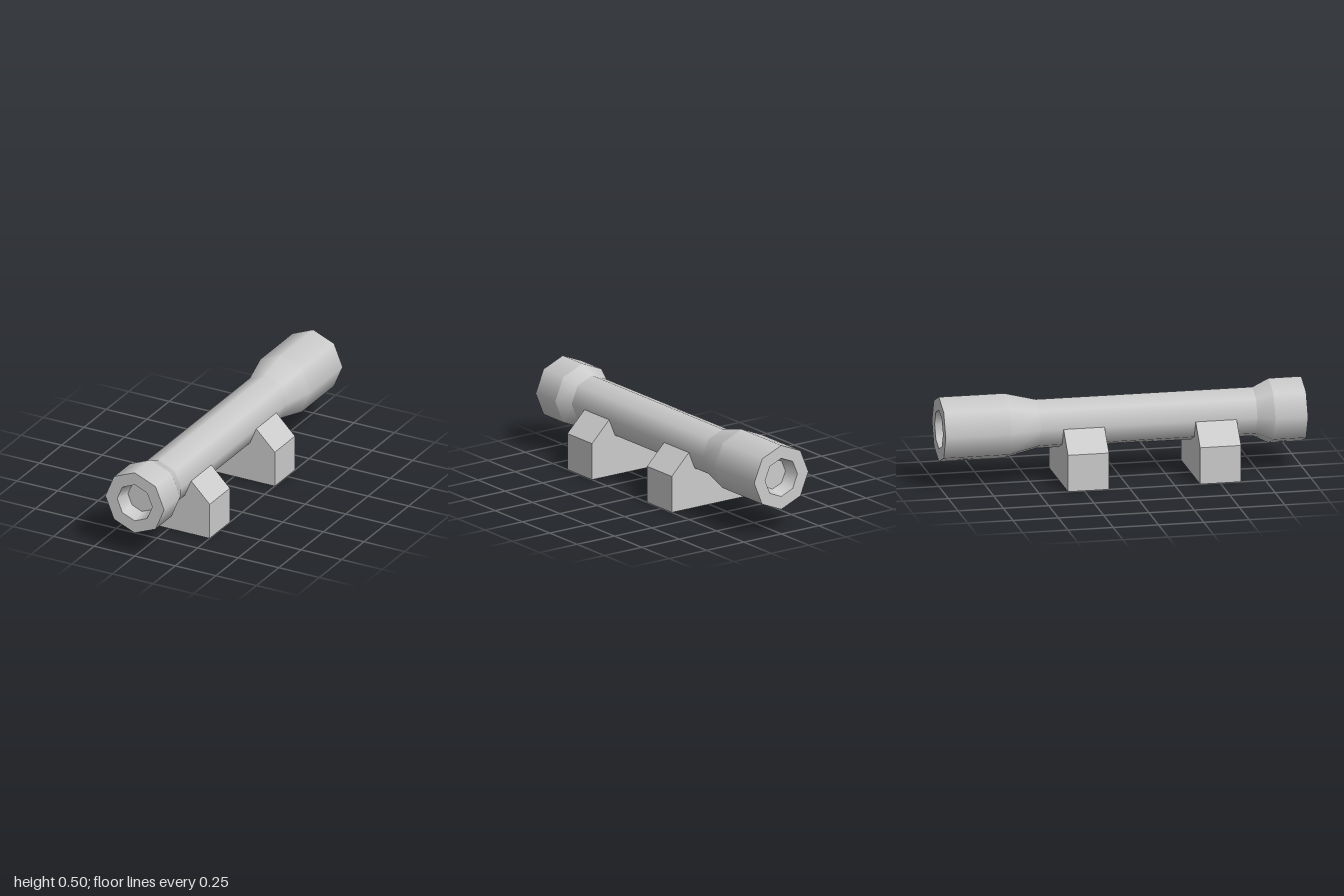
import * as THREE from 'three';
import { mergeGeometries } from 'three/addons/utils/BufferGeometryUtils.js';

const AXIS_Y = 0.32;
const material = new THREE.MeshStandardMaterial({ color: 0xcccccc });

// Eight-sided lathe along z: smooth around, sharp between profile sections
function turned(name, profile) {
  const bands = [];
  for (let i = 0; i < profile.length - 1; i++) {
    const pair = [profile[i], profile[i + 1]].map(([r, z]) => new THREE.Vector2(r, z));
    bands.push(new THREE.LatheGeometry(pair, 8));
  }
  const geometry = mergeGeometries(bands);
  geometry.rotateX(Math.PI / 2);
  geometry.translate(0, AXIS_Y, 0);
  const mesh = new THREE.Mesh(geometry, material);
  mesh.name = name;
  return mesh;
}

// Block with sloped shoulders that cradles the tube
function mount(name, zCentre) {
  const depth = 0.226;
  const shape = new THREE.Shape([
    [-0.25, 0], [0.25, 0], [0.25, 0.204], [0.134, 0.32], [-0.134, 0.32], [-0.25, 0.204],
  ].map(([x, y]) => new THREE.Vector2(x, y)));
  const geometry = new THREE.ExtrudeGeometry(shape, { depth, bevelEnabled: false });
  geometry.translate(0, 0, zCentre - depth / 2);
  const mesh = new THREE.Mesh(geometry, material);
  mesh.name = name;
  return mesh;
}

export function createModel() {
  const model = new THREE.Group();
  model.name = 'sightingScope';

  // Rear bell with recessed lens
  model.add(turned('rearBell', [
    [0, -0.92], [0.086, -0.92], [0.108, -1], [0.181, -1], [0.181, -0.64], [0.137, -0.465],
  ]));
  // Straight main tube
  model.add(turned('mainTube', [[0.137, -0.465], [0.137, 0.73]]));
  // Front bell with recessed lens
  model.add(turned('frontBell', [
    [0.137, 0.73], [0.181, 0.82], [0.181, 1], [0.108, 1], [0.086, 0.92], [0, 0.92],
  ]));

  // Mounting blocks
  model.add(mount('frontMount', 0.502));
  model.add(mount('rearMount', -0.227));
  return model;
}
